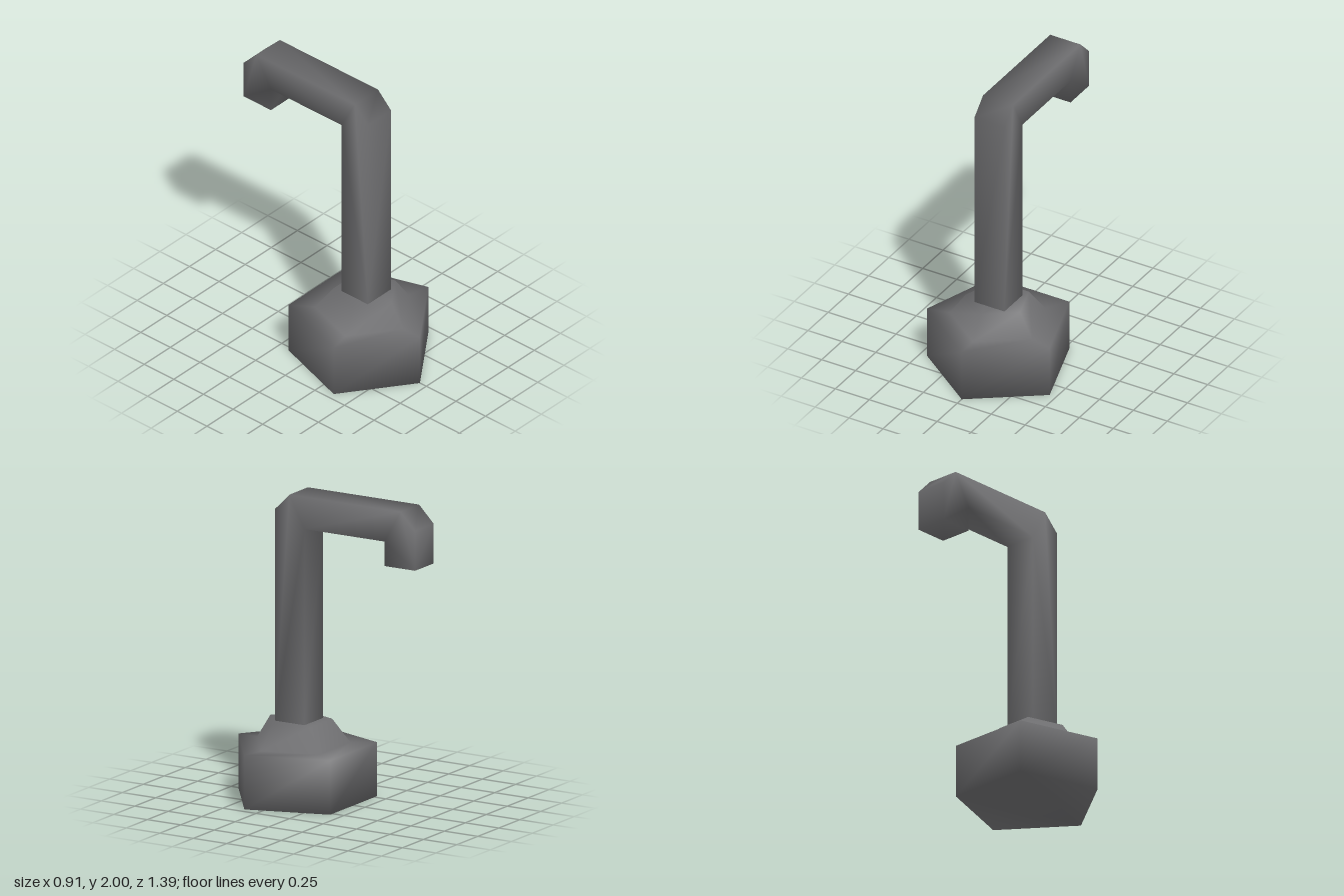
import * as THREE from 'three';
import { mergeVertices } from 'three/addons/utils/BufferGeometryUtils.js';

// Closed, smooth-shaded stack of pentagons; each ring is [radius, y, centreZ]
function pentagonStack(rings) {
  const n = 5, pos = [], idx = [];
  for (const [r, y, cz] of rings) {
    for (let i = 0; i < n; i++) {
      const a = (i / n) * Math.PI * 2;
      pos.push(r * Math.sin(a), y, cz + r * Math.cos(a));
    }
  }
  for (let k = 0; k < rings.length - 1; k++) {
    for (let i = 0; i < n; i++) {
      const a = k * n + i, b = k * n + (i + 1) % n;
      idx.push(a, b, b + n, a, b + n, a + n);
    }
  }
  // Bottom and top caps
  const t = (rings.length - 1) * n;
  for (let i = 1; i < n - 1; i++) {
    idx.push(0, i + 1, i, t, t + i, t + i + 1);
  }
  const g = new THREE.BufferGeometry();
  g.setAttribute('position', new THREE.Float32BufferAttribute(pos, 3));
  g.setIndex(idx);
  g.computeVertexNormals();
  return g;
}

// Side profile of [z, y] points, extruded across x with shared smooth normals
function smoothProfile(points, width) {
  const shape = new THREE.Shape(points.map(([z, y]) => new THREE.Vector2(-z, y)));
  let g = new THREE.ExtrudeGeometry(shape, { depth: width, bevelEnabled: false });
  g.translate(0, 0, -width / 2);
  g.rotateY(Math.PI / 2);
  g.deleteAttribute('normal');
  g.deleteAttribute('uv');
  g = mergeVertices(g, 1e-4);
  g.computeVertexNormals();
  return g;
}

export function createModel() {
  const group = new THREE.Group();
  const darkMetal = new THREE.MeshStandardMaterial({ color: 0x6e6e70 });
  darkMetal.name = 'dark grey metal';

  const add = (name, geometry) => {
    const mesh = new THREE.Mesh(geometry, darkMetal);
    mesh.name = name;
    group.add(mesh);
  };

  // Pentagonal base with a shelf and a tapered collar
  add('base', pentagonStack([
    [0.476, 0, 0.22],
    [0.476, 0.353, 0.22],
    [0.32, 0.353, 0.235],
    [0.212, 0.508, 0.245],
  ]));

  // Square pipe: upright, arm and downturned end, with chamfered outer elbows
  add('pipe', smoothProfile([
    [0.354, 0.505], [0.132, 0.505],
    [0.132, 1.79], [-0.464, 1.79],
    [-0.464, 1.63], [-0.694, 1.63],
    [-0.694, 1.89], [-0.585, 2],
    [0.245, 2], [0.354, 1.89],
  ], 0.222));

  return group;
}
